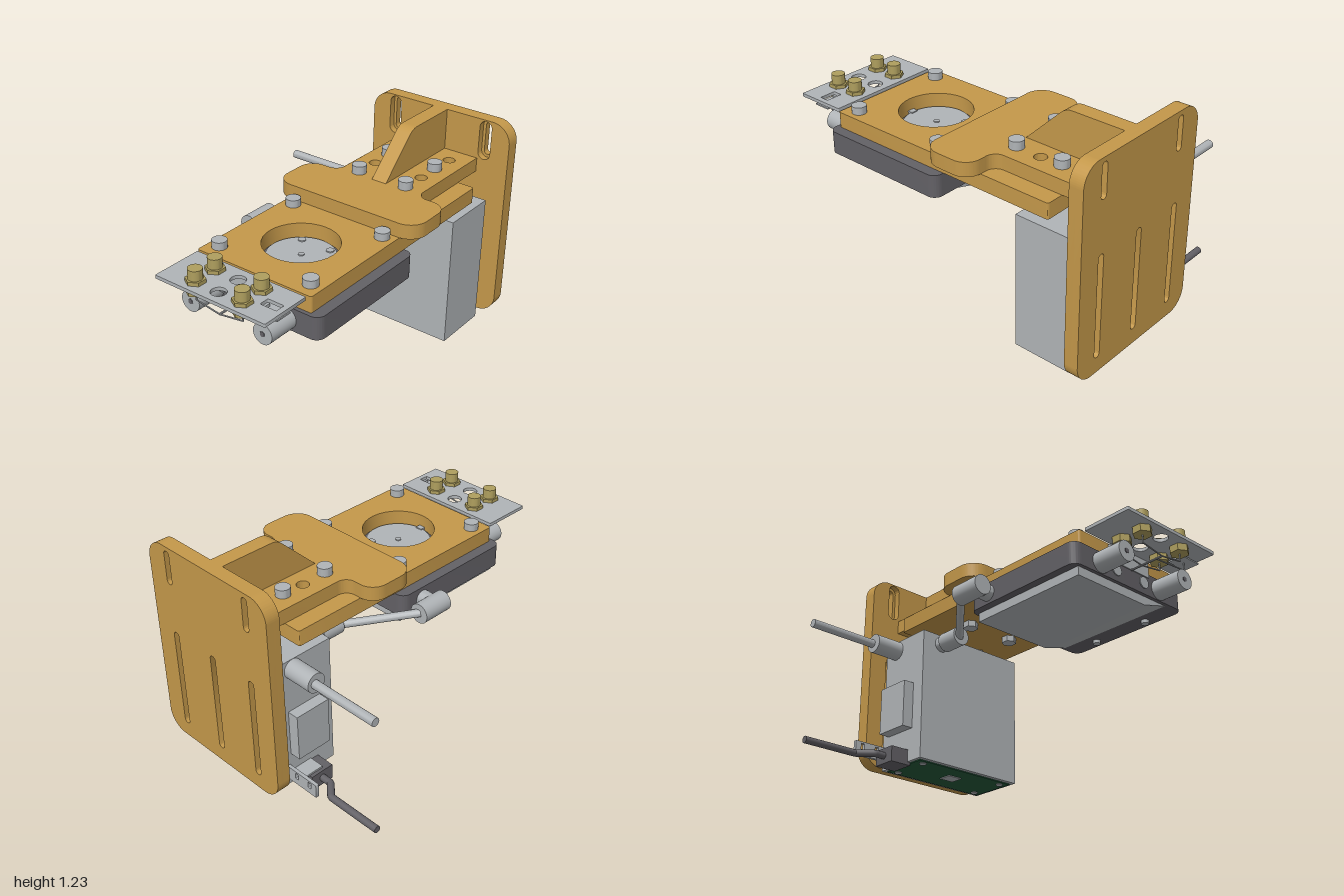
import * as THREE from 'three';
import { toCreasedNormals } from 'three/addons/utils/BufferGeometryUtils.js';

const mat = (name, color, extra = {}) => Object.assign(new THREE.MeshStandardMaterial({ color, ...extra }), { name });

export function createModel() {
  const root = new THREE.Group();
  const ochre = mat('ochre', 0xc4984a);
  const grey = mat('metal grey', 0xb0b4b7);
  const dark = mat('dark grey', 0x636166);
  const brass = mat('brass', 0xaf9f5e);
  const green = mat('board green', 0x24573a);
  const CX = 0.245; // symmetry line of the bracket

  const add = (name, geo, m) => {
    const mesh = new THREE.Mesh(geo, m);
    mesh.name = name;
    root.add(mesh);
    return mesh;
  };
  const box = (name, m, x0, x1, y0, y1, z0, z1) =>
    add(name, new THREE.BoxGeometry(x1 - x0, y1 - y0, z1 - z0), m)
      .position.set((x0 + x1) / 2, (y0 + y1) / 2, (z0 + z1) / 2);
  // Cylinder between two points
  const rod = (name, m, a, b, r, n = 32) => {
    const p = new THREE.Vector3(...a), q = new THREE.Vector3(...b), d = q.clone().sub(p);
    const mesh = add(name, toCreasedNormals(new THREE.CylinderGeometry(r, r, d.length(), n), 0.6), m);
    mesh.position.copy(p).add(q).multiplyScalar(0.5);
    mesh.quaternion.setFromUnitVectors(new THREE.Vector3(0, 1, 0), d.normalize());
  };
  const post = (name, m, x, z, y0, y1, r, n) => rod(name, m, [x, y0, z], [x, y1, z], r, n);
  const rounded = (x0, x1, y0, y1, r, S = THREE.Shape) => {
    const s = new S();
    s.absarc(x1 - r, y1 - r, r, 0, Math.PI / 2);
    s.absarc(x0 + r, y1 - r, r, Math.PI / 2, Math.PI);
    s.absarc(x0 + r, y0 + r, r, Math.PI, Math.PI * 1.5);
    s.absarc(x1 - r, y0 + r, r, Math.PI * 1.5, Math.PI * 2);
    s.closePath();
    return s;
  };
  const hole = (s, x, y, r) => s.holes.push(new THREE.Path().absarc(x, y, r, 0, Math.PI * 2, true));
  const extrude = (s, depth) =>
    toCreasedNormals(new THREE.ExtrudeGeometry(s, { depth, bevelEnabled: false, curveSegments: 16 }), 0.5);
  // Horizontal plate: shape drawn in x and z
  const slab = (name, m, s, y0, y1) => {
    const mesh = add(name, extrude(s, y1 - y0), m);
    mesh.rotation.x = Math.PI / 2;
    mesh.position.y = y1;
  };

  // Wall plate in two layers: narrow slots behind, wider recesses in front
  for (const [z0, depth, w] of [[-1, 0.04, 0.02], [-0.96, 0.04, 0.037]]) {
    const s = rounded(-0.2, 0.69, 0.05, 1.235, 0.11);
    const slot = (x, y0, y1) => s.holes.push(rounded(x - w, x + w, y0 - w, y1 + w, w - 0.0005, THREE.Path));
    for (const x of [-0.05, 0.54]) slot(x, 1.04, 1.19);
    for (const x of [-0.05, CX, 0.54]) slot(x, 0.16, 0.71);
    add('wallPlate', extrude(s, depth), ochre).position.z = z0;
  }

  // T-shaped arm with a wide rounded head
  const tee = new THREE.Shape();
  tee.moveTo(-0.01, -0.92);
  tee.lineTo(0.5, -0.92);
  tee.lineTo(0.5, -0.38);
  tee.absarc(0.56, -0.38, 0.06, Math.PI, Math.PI / 2, true);
  tee.absarc(0.6, -0.23, 0.09, -Math.PI / 2, 0);
  tee.absarc(0.59, -0.12, 0.1, 0, Math.PI / 2);
  tee.absarc(-0.1, -0.12, 0.1, Math.PI / 2, Math.PI);
  tee.absarc(-0.11, -0.23, 0.09, Math.PI, Math.PI * 1.5);
  tee.absarc(-0.07, -0.38, 0.06, Math.PI / 2, 0, true);
  tee.closePath();
  for (const x of [0.095, 0.395]) for (const z of [-0.8, -0.52]) hole(tee, x, z, 0.034);
  slab('upperArm', ochre, tee, 0.92, 1.0);

  // Gusset rib, drawn in -z and y
  const rib = new THREE.Shape();
  rib.moveTo(0.92, 0.99);
  rib.lineTo(0.33, 0.99);
  rib.lineTo(0.55, 1.205);
  rib.quadraticCurveTo(0.58, 1.235, 0.62, 1.235);
  rib.lineTo(0.92, 1.235);
  rib.closePath();
  const ribMesh = add('gussetRib', extrude(rib, 0.09), ochre);
  ribMesh.rotation.y = Math.PI / 2;
  ribMesh.position.x = 0.2;

  // Lower carrier plate with a round window
  const carrier = rounded(-0.11, 0.6, -0.735, 0.69, 0.012);
  hole(carrier, CX, 0.32, 0.2);
  for (const x of [0.095, 0.395]) hole(carrier, x, -0.66, 0.03);
  slab('carrierPlate', ochre, carrier, 0.832, 0.92);

  // Bolts and nuts
  for (const x of [-0.04, 0.53]) for (const z of [0.03, 0.605]) post('carrierBolt', grey, x, z, 0.91, 0.962, 0.04);
  for (const x of [0.095, 0.395]) for (const z of [-0.37, -0.65]) {
    post('armBolt', grey, x, z, 0.8, 1.045, 0.029);
    post('armBoltHead', grey, x, z, 1.0, 1.047, 0.04);
    post('armNut', grey, x, z, 0.797, 0.832, 0.042, 6);
  }

  // Sensor housing and the disc seen in the window
  slab('sensorHousing', dark, rounded(-0.17, 0.66, -0.07, 0.71, 0.05), 0.705, 0.831);
  post('sensorDisc', grey, CX, 0.32, 0.82, 0.85, 0.18, 48);
  for (const [x, z, r] of [[0.155, 0.2, 0.021], [0.335, 0.2, 0.021], [CX, 0.32, 0.016]])
    post('discStud', grey, x, z, 0.85, 0.856, r, 20);
  box('discKey', grey, 0.225, 0.265, 0.83, 0.856, 0.485, 0.515);
  // Underside cover with one sloping side
  const cover = new THREE.Shape();
  cover.moveTo(-0.125, 0.705);
  cover.lineTo(-0.125, 0.655);
  cover.lineTo(0.37, 0.655);
  cover.lineTo(0.54, 0.705);
  cover.closePath();
  add('undersideCover', extrude(cover, 0.74), grey).position.z = -0.05;
  for (const x of [-0.1, 0.6]) for (const z of [0.14, 0.5]) post('coverScrew', grey, x, z, 0.685, 0.706, 0.022, 16);

  // Front sockets on the housing
  for (const x of [0.02, 0.47]) {
    rod('frontSocket', grey, [x, 0.766, 0.7], [x, 0.766, 0.885], 0.057);
    rod('socketRecess', dark, [x, 0.766, 0.885], [x, 0.766, 0.888], 0.015, 6);
  }
  for (const x of [0.14, 0.35]) rod('frontPlug', grey, [x, 0.77, 0.7], [x, 0.77, 0.716], 0.033);

  // Front terminal plate with tongue, studs and contact springs
  const term = rounded(-0.09, 0.585, 0.71, 1.0, 0.004);
  for (const z of [0.79, 0.925]) hole(term, CX, z, 0.04);
  term.holes.push(rounded(0.46, 0.555, 0.83, 0.885, 0.004, THREE.Path));
  slab('terminalPlate', grey, term, 0.907, 0.926);
  box('terminalTongue', grey, 0.1, 0.39, 0.81, 0.908, 0.695, 0.715);
  box('indicatorPlate', grey, 0.44, 0.575, 0.884, 0.892, 0.81, 0.905);
  for (const x of [0.465, 0.55]) box('indicatorLeg', grey, x - 0.008, x + 0.008, 0.89, 0.908, 0.83, 0.885);
  for (const z of [0.79, 0.925]) {
    for (const x of [0.1, 0.39]) {
      post('studNutLower', brass, x, z, 0.868, 0.907, 0.052, 6);
      post('studNutUpper', brass, x, z, 0.926, 0.946, 0.052, 6);
      post('stud', brass, x, z, 0.94, 1.0, 0.037);
      rod('springLeg', grey, [x, 0.87, z], [x, 0.825, z], 0.004, 8);
      rod('springArm', grey, [x, 0.825, z], [CX, 0.803, z], 0.004, 8);
    }
  }
  rod('springBridge', grey, [CX, 0.803, 0.72], [CX, 0.803, 0.925], 0.006, 8);
  rod('indicatorWire', grey, [0.505, 0.885, 0.86], [0.505, 0.84, 0.86], 0.004, 8);
  rod('indicatorWire', grey, [0.505, 0.84, 0.86], [0.27, 0.825, 0.86], 0.004, 8);

  // Control box with side cover, rear tabs and a circuit board below
  box('controlBox', grey, -0.11, 0.6, 0.02, 0.785, -0.88, -0.54);
  box('boxSidePanel', grey, -0.175, -0.11, 0.21, 0.48, -0.83, -0.62);
  for (const x of [-0.015, 0.515]) box('boxRearTab', grey, x - 0.02, x + 0.02, 0.09, 0.165, -0.9, -0.88);
  box('circuitBoard', green, -0.09, 0.58, 0.014, 0.021, -0.855, -0.565);
  box('boardChip', grey, 0.2, 0.29, 0.009, 0.015, -0.74, -0.66);
  for (const x of [-0.04, 0.53]) for (const z of [-0.82, -0.6]) post('boardScrew', grey, x, z, 0.008, 0.016, 0.02, 16);

  // Upper cable and its plug
  rod('upperCable', grey, [-0.69, 0.728, -0.795], [-0.26, 0.728, -0.795], 0.024, 20);
  rod('upperCablePlug', grey, [-0.28, 0.728, -0.785], [-0.1, 0.728, -0.785], 0.055);

  // Lower cable with a bend, plug and punched bracket
  const path = new THREE.CurvePath();
  const pts = [[-0.69, -0.79], [-0.36, -0.79], [-0.28, -0.72], [-0.2, -0.72]].map(([x, z]) => new THREE.Vector3(x, 0.047, z));
  for (let i = 0; i < 3; i++) path.add(new THREE.LineCurve3(pts[i], pts[i + 1]));
  add('lowerCable', new THREE.TubeGeometry(path, 48, 0.02, 14), dark);
  rod('lowerCableEnd', dark, [-0.69, 0.047, -0.79], [-0.685, 0.047, -0.79], 0.02, 14);
  box('lowerCablePlug', dark, -0.22, -0.09, 0.002, 0.09, -0.79, -0.65);
  const strap = rounded(-0.325, -0.1, 0.065, 0.145, 0.003);
  for (const x of [-0.278, -0.182]) strap.holes.push(rounded(x - 0.011, x + 0.011, 0.1, 0.135, 0.002, THREE.Path));
  add('cableBracket', extrude(strap, 0.02), grey).position.z = -0.86;
  box('cableBracketShelf', grey, -0.2, -0.1, 0.09, 0.1, -0.85, -0.7);

  // Elbow plug on the housing side and the link cable to the box
  rod('elbowPlug', grey, [-0.262, 0.766, -0.05], [-0.262, 0.766, 0.135], 0.056);
  rod('elbowStub', grey, [-0.262, 0.766, 0.075], [-0.165, 0.766, 0.075], 0.045);
  rod('linkCable', grey, [-0.262, 0.768, -0.04], [0.02, 0.722, -0.38], 0.022, 20);
  rod('linkPlug', grey, [0.02, 0.728, -0.365], [0.02, 0.728, -0.5], 0.055);
  rod('linkStub', grey, [0.02, 0.728, -0.5], [0.02, 0.728, -0.545], 0.045);
  return root;
}
